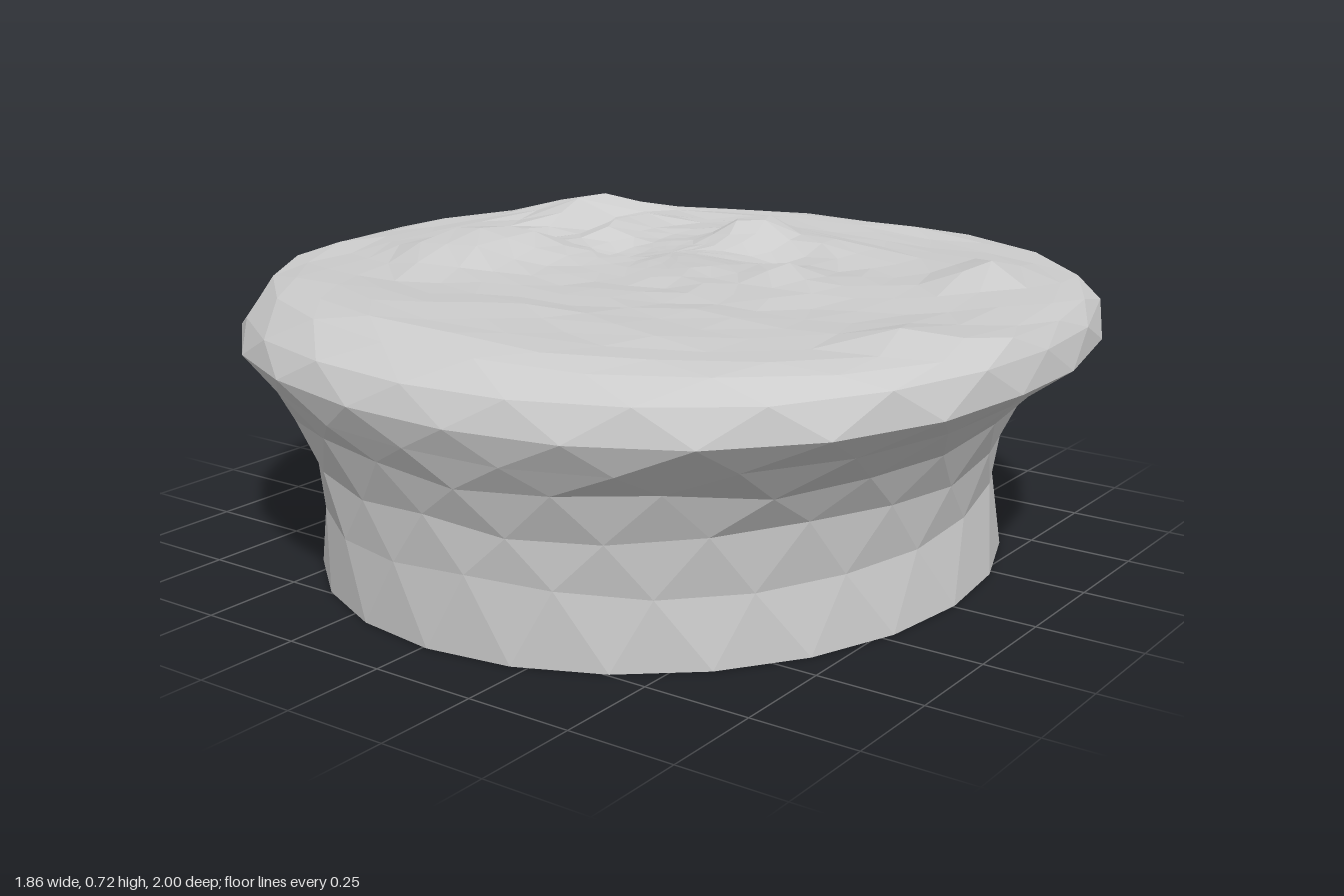
import * as THREE from 'three';

const SIDES = 24;
const material = new THREE.MeshStandardMaterial({
  color: 0xcccccc, flatShading: true, side: THREE.DoubleSide,
});

// Small repeatable noise in -1..1
function noise(i, j) {
  const s = Math.sin(i * 127.1 + j * 311.7) * 43758.5453;
  return (s - Math.floor(s)) * 2 - 1;
}

// Squarish oval: point at angle t with half-widths rx, rz
function oval(t, rx, rz, power) {
  const c = Math.cos(t), s = Math.sin(t);
  const k = (Math.abs(c) ** power + Math.abs(s) ** power) ** (-1 / power);
  return [rx * c * k, rz * s * k];
}

// The lip is a little squarer at the front left than at the back right
const lipPower = (t) => 2.27 + 0.13 * Math.cos(t - Math.PI / 4);

// One ring of points; every other row is turned half a step for diamond facets
function ring(row, pointAt) {
  return Array.from({ length: SIDES }, (_, j) =>
    pointAt(((j + (row % 2) / 2) / SIDES) * Math.PI * 2, j));
}

// Joins rings of points into one surface, starting at the given row number
function loft(rings, firstRow, name) {
  const index = [];
  for (let i = 0; i < rings.length - 1; i++) {
    for (let j = 0; j < SIDES; j++) {
      const a = i * SIDES + j, b = i * SIDES + (j + 1) % SIDES;
      const c = a + SIDES, d = b + SIDES;
      if ((i + firstRow) % 2) index.push(a, c, d, a, d, b);
      else index.push(a, c, b, b, c, d);
    }
  }
  const geometry = new THREE.BufferGeometry();
  geometry.setAttribute('position', new THREE.Float32BufferAttribute(rings.flat(2), 3));
  geometry.setIndex(index);
  geometry.computeVertexNormals();
  const mesh = new THREE.Mesh(geometry, material);
  mesh.name = name;
  return mesh;
}

// Folds on the crown: x, z, radius x, radius z, height
const FOLDS = [
  [-0.1, -0.5, 0.16, 0.16, 0.065],
  [0.03, -0.38, 0.08, 0.14, 0.025],
  [0.46, -0.04, 0.11, 0.08, 0.065],
  [0.48, 0.13, 0.1, 0.18, 0.03],
  [0.5, -0.6, 0.17, 0.1, 0.06],
  [0.38, -0.4, 0.16, 0.06, 0.04],
  [0.34, -0.52, 0.14, 0.05, -0.04],
  [0.2, -0.3, 0.09, 0.14, -0.035],
  [0.12, 0.27, 0.08, 0.09, 0.03],
  [0.36, 0.68, 0.12, 0.08, 0.035],
  [-0.2, 0.8, 0.1, 0.06, 0.025],
  [-0.52, 0.27, 0.1, 0.1, 0.012],
  [0.3, 0.1, 0.08, 0.16, -0.025],
  [0.78, 0.1, 0.1, 0.4, 0.01],
];

function crownHeight(x, z) {
  let y = 0.658 + 0.006 * Math.sin(7 * x + 3 * z) * Math.cos(6 * z - 2 * x);
  for (const [fx, fz, rx, rz, h] of FOLDS) {
    y += h * Math.exp(-(((x - fx) / rx) ** 2) - ((z - fz) / rz) ** 2);
  }
  return y;
}

export function createModel() {
  const rings = [];

  // Band, pinched at the waist and flaring outwards: y, half-width, half-depth, squareness
  const bandProfile = [
    [0, 0.867, 0.79, 2], [0.17, 0.862, 0.755, 2.05], [0.29, 0.865, 0.77, 2.1],
    [0.39, 0.89, 0.815, 2.15], [0.465, 0.92, 0.9, 2.2],
  ];
  bandProfile.forEach(([y, rx, rz, power], row) => {
    const wobble = row ? 1 : 0;
    rings.push(ring(row, (t, j) => {
      const r = 1 + wobble * 0.005 * noise(row, j);
      const [x, z] = oval(t, rx * r, rz * r, power);
      return [x + 0.006, y + wobble * 0.015 * noise(j, row + 9), z + 0.01];
    }));
  });

  // Lip: y, half-width, half-depth, shift to the left, tilt to the left, tilt to the front
  const lip = [
    [0.548, 0.932, 1.003, 0, 0.03, 0],
    [0.595, 0.912, 0.99, 0.008, 0.005, 0.025],
    [0.648, 0.845, 0.96, 0.02, 0.008, 0.005],
  ];
  const lipRow = rings.length;
  for (const [y, rx, rz, shift, tiltX, tiltZ] of lip) {
    const row = rings.length;
    rings.push(ring(row, (t, j) => {
      const [x, z] = oval(t, rx, rz, lipPower(t));
      return [x + shift, y + tiltX * Math.cos(t) + tiltZ * Math.sin(t) + 0.006 * noise(row, j), z];
    }));
  }

  // Creased top, closing in on a point among the folds
  const STEPS = 13;
  for (let i = 0; i <= STEPS; i++) {
    const f = 1 - i / STEPS;
    const row = rings.length;
    rings.push(ring(row, (t, j) => {
      const r = f * (1 + 0.015 * noise(row, j));
      const [ox, oz] = oval(t, 0.78 * r, 0.9 * r, 2 + (lipPower(t) - 2) * f);
      const x = ox + 0.02 + 0.22 * (1 - f), z = oz - 0.14 * (1 - f);
      const rough = Math.min(1, f * 3) * 0.006 * noise(j, row + 40);
      return [x, crownHeight(x, z) + rough, z];
    }));
  }

  const group = new THREE.Group();
  group.name = 'softCap';
  group.add(loft(rings.slice(0, lipRow + 1), 0, 'band'));
  group.add(loft(rings.slice(lipRow), lipRow, 'crown'));
  return group;
}
